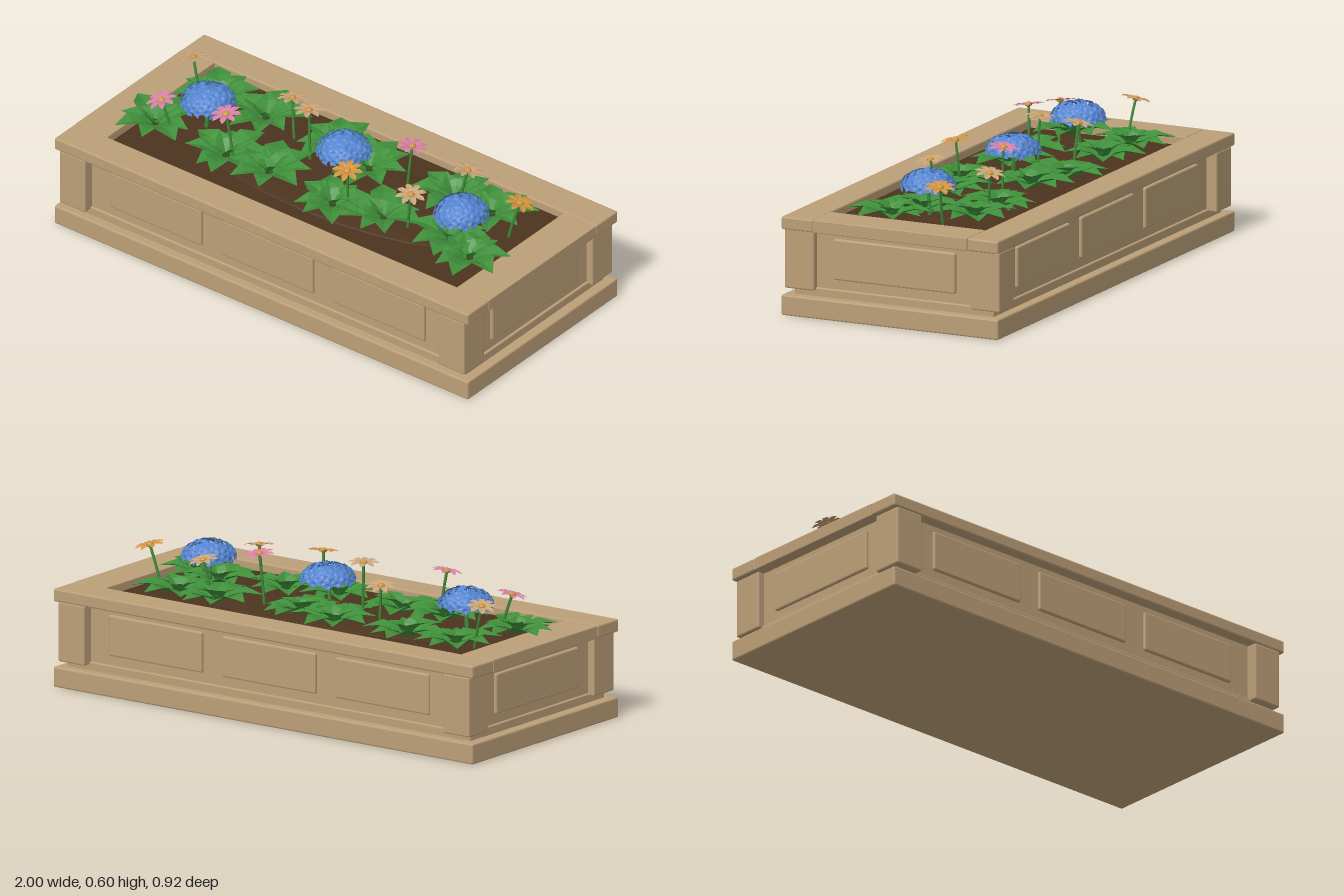
import * as THREE from 'three';
import { mergeGeometries } from 'three/addons/utils/BufferGeometryUtils.js';
import { RoundedBoxGeometry } from 'three/addons/geometries/RoundedBoxGeometry.js';

const mat = (name, color, side = THREE.FrontSide) => {
  const m = new THREE.MeshStandardMaterial({ color, side, flatShading: true });
  m.name = name;
  return m;
};

// Folded blade growing along +z: sections are [distance, half width, height]
function blade(sections, fold) {
  const pos = [], idx = [];
  for (const [z, w, y] of sections) pos.push(-w, y + w * fold, z, 0, y, z, w, y + w * fold, z);
  for (let i = 0; i < sections.length - 1; i++) {
    const a = i * 3;
    for (const k of [a, a + 1]) idx.push(k, k + 3, k + 1, k + 1, k + 3, k + 4);
  }
  const g = new THREE.BufferGeometry();
  g.setAttribute('position', new THREE.Float32BufferAttribute(pos, 3));
  g.setIndex(idx);
  const flat = g.toNonIndexed();
  flat.computeVertexNormals();
  return flat;
}

// Copies of a blade arranged in a ring
function ring(geo, count, pitch, start = 0, vary = () => 0.5) {
  const out = [];
  for (let i = 0; i < count; i++) {
    const s = 0.85 + 0.3 * vary();
    out.push(geo.clone().scale(s, s, s).rotateX(-pitch)
      .rotateY(start + (i + (vary() - 0.5) * 0.4) * Math.PI * 2 / count));
  }
  return out;
}

export function createModel() {
  const model = new THREE.Group();
  model.name = 'flowerPlanter';
  let seed = 11;
  const rand = () => (seed = (seed * 16807) % 2147483647) / 2147483647;

  const wood = mat('wood', 0xbc9f78);
  const soil = mat('soil', 0x4c341f);
  const leafGreen = mat('leafGreen', 0x3f8f3a, THREE.DoubleSide);
  const stemGreen = mat('stemGreen', 0x3f8a38);
  const blue = mat('bluePetal', 0x5586d2, THREE.DoubleSide);
  const petals = {
    pink: mat('pinkPetal', 0xd980a6, THREE.DoubleSide),
    cream: mat('creamPetal', 0xc9a47a, THREE.DoubleSide),
    orange: mat('orangePetal', 0xd3923f, THREE.DoubleSide),
  };
  const gold = mat('flowerCentre', 0xcf9440);

  const add = (name, geo, material, parent = model) => {
    const m = new THREE.Mesh(geo, material);
    m.name = name;
    parent.add(m);
    return m;
  };
  const box = (name, w, h, d, x, y, z, bevel = 0.006) =>
    add(name, new RoundedBoxGeometry(w, h, d, 1, bevel), wood).position.set(x, y, z);

  // Wooden box: plinth, step, body, posts and rim
  box('plinth', 2, 0.08, 0.924, 0, 0.04, 0);
  box('step', 1.92, 0.04, 0.85, 0, 0.093, 0, 0.004);
  box('body', 1.9, 0.235, 0.83, 0, 0.222, 0, 0.003);
  for (const s of [-1, 1]) {
    for (const t of [-1, 1]) box('cornerPost', 0.125, 0.235, 0.125, s * 0.917, 0.22, t * 0.396);
    box('longRim', 2, 0.05, 0.132, 0, 0.361, s * 0.396);
    box('shortRim', 0.154, 0.05, 0.66, s * 0.923, 0.361, 0, 0.003);
    for (const x of [-0.54, 0, 0.54]) box('longPanel', 0.444, 0.16, 0.024, x, 0.231, s * 0.415);
    box('endPanel', 0.024, 0.16, 0.52, s * 0.95, 0.231, 0);
  }

  // Soil with a low mound
  add('soilBed', new THREE.BoxGeometry(1.71, 0.015, 0.67), soil).position.y = 0.345;
  const mound = add('soilMound', new THREE.SphereGeometry(1, 24, 6, 0, Math.PI * 2, 0, Math.PI / 2), soil);
  mound.position.y = 0.35;
  mound.scale.set(0.7, 0.02, 0.24);

  // Leaf rosettes
  const outerLeaf = blade([[0.015, 0.01, 0], [0.06, 0.04, 0.008], [0.105, 0.044, 0.006], [0.165, 0.001, -0.015]], 0.35);
  const innerLeaf = blade([[0.005, 0.008, 0], [0.04, 0.03, 0.006], [0.065, 0.028, 0.004], [0.1, 0.001, -0.012]], 0.4);
  const rosettes = [
    [-0.7, -0.17], [-0.47, -0.17], [-0.13, -0.18], [0.06, -0.13], [0.43, -0.18], [0.62, -0.17],
    [-0.78, 0.12], [-0.43, 0.13], [-0.23, 0.12], [0.1, 0.15], [0.31, 0.1], [0.6, 0.06], [0.74, 0.12],
  ];
  for (const [x, z] of rosettes) {
    const g = mergeGeometries([
      ...ring(outerLeaf, 8, 0.28, rand() * 6, rand),
      ...ring(innerLeaf, 5, 0.75, rand() * 6, rand),
    ]);
    add('leafRosette', g, leafGreen).position.set(x, 0.362, z);
  }

  const stem = (parent, x, y, z, r, lean) => {
    const curve = new THREE.QuadraticBezierCurve3(
      new THREE.Vector3(x - lean, 0.345, z * 0.9),
      new THREE.Vector3(x - lean * 0.6, (y + 0.345) / 2, z * 0.92),
      new THREE.Vector3(x, y, z));
    add('stem', new THREE.TubeGeometry(curve, 4, r, 6), stemGreen, parent);
  };

  // Domed blue flower heads made of four-petalled florets
  const floretPetal = blade([[0, 0.002, 0], [0.01, 0.008, 0.002], [0.018, 0.002, 0]], 0.1);
  const up = new THREE.Vector3(0, 1, 0);
  for (const [x, y, z] of [[-0.61, 0.475, 0.01], [0.015, 0.485, -0.03], [0.625, 0.47, 0.025]]) {
    const head = new THREE.Group();
    head.name = 'blueFlower';
    model.add(head);
    stem(head, x, y, z, 0.008, 0.01);
    const core = add('domeCore', new THREE.SphereGeometry(1, 14, 5, 0, Math.PI * 2, 0, Math.PI / 2), blue, head);
    core.position.set(x, y - 0.005, z);
    core.scale.set(0.09, 0.056, 0.09);
    const florets = [], n = 76;
    for (let i = 0; i < n; i++) {
      const h = 1 - 1.02 * (i + 0.5) / n, r = Math.sqrt(1 - h * h), a = i * 2.39996;
      const dir = new THREE.Vector3(r * Math.cos(a), h * 1.1 + 0.1, r * Math.sin(a)).normalize();
      dir.x += (rand() - 0.5) * 0.5;
      dir.z += (rand() - 0.5) * 0.5;
      const q = new THREE.Quaternion().setFromUnitVectors(up, dir.normalize());
      florets.push(mergeGeometries(ring(floretPetal, 4, 0.15, rand() * 3)).applyQuaternion(q)
        .translate(r * Math.cos(a) * 0.102, h * 0.063, r * Math.sin(a) * 0.102));
    }
    add('florets', mergeGeometries(florets), blue, head).position.set(x, y, z);
  }

  // Daisies
  const daisyPetal = blade([[0.008, 0.005, 0], [0.03, 0.012, 0.003], [0.047, 0.012, 0.002], [0.06, 0.003, -0.002]], 0.2);
  const daisies = [
    [-0.8, 0.525, -0.14, 'cream'], [-0.73, 0.503, 0.145, 'pink'], [-0.43, 0.553, 0.13, 'pink'],
    [-0.32, 0.532, -0.14, 'cream'], [-0.17, 0.583, -0.05, 'cream'], [0.165, 0.54, 0.14, 'orange'],
    [0.275, 0.563, -0.12, 'pink'], [0.5, 0.515, -0.175, 'cream'], [0.445, 0.527, 0.105, 'cream'],
    [0.8, 0.517, -0.115, 'orange'],
  ];
  for (const [x, y, z, colour] of daisies) {
    const daisy = new THREE.Group();
    daisy.name = 'daisy';
    model.add(daisy);
    stem(daisy, x, y, z, 0.0055, x * 0.06);
    const bloom = new THREE.Group();
    bloom.name = 'bloom';
    bloom.position.set(x, y, z);
    bloom.rotation.set(z * 1.2, 0, -x * 0.25);
    daisy.add(bloom);
    add('petals', mergeGeometries(ring(daisyPetal, 8, 0.06, rand() * 3)), petals[colour], bloom);
    const centre = add('centre', new THREE.IcosahedronGeometry(0.015, 1), gold, bloom);
    centre.position.y = 0.003;
    centre.scale.y = 0.7;
  }
  return model;
}
